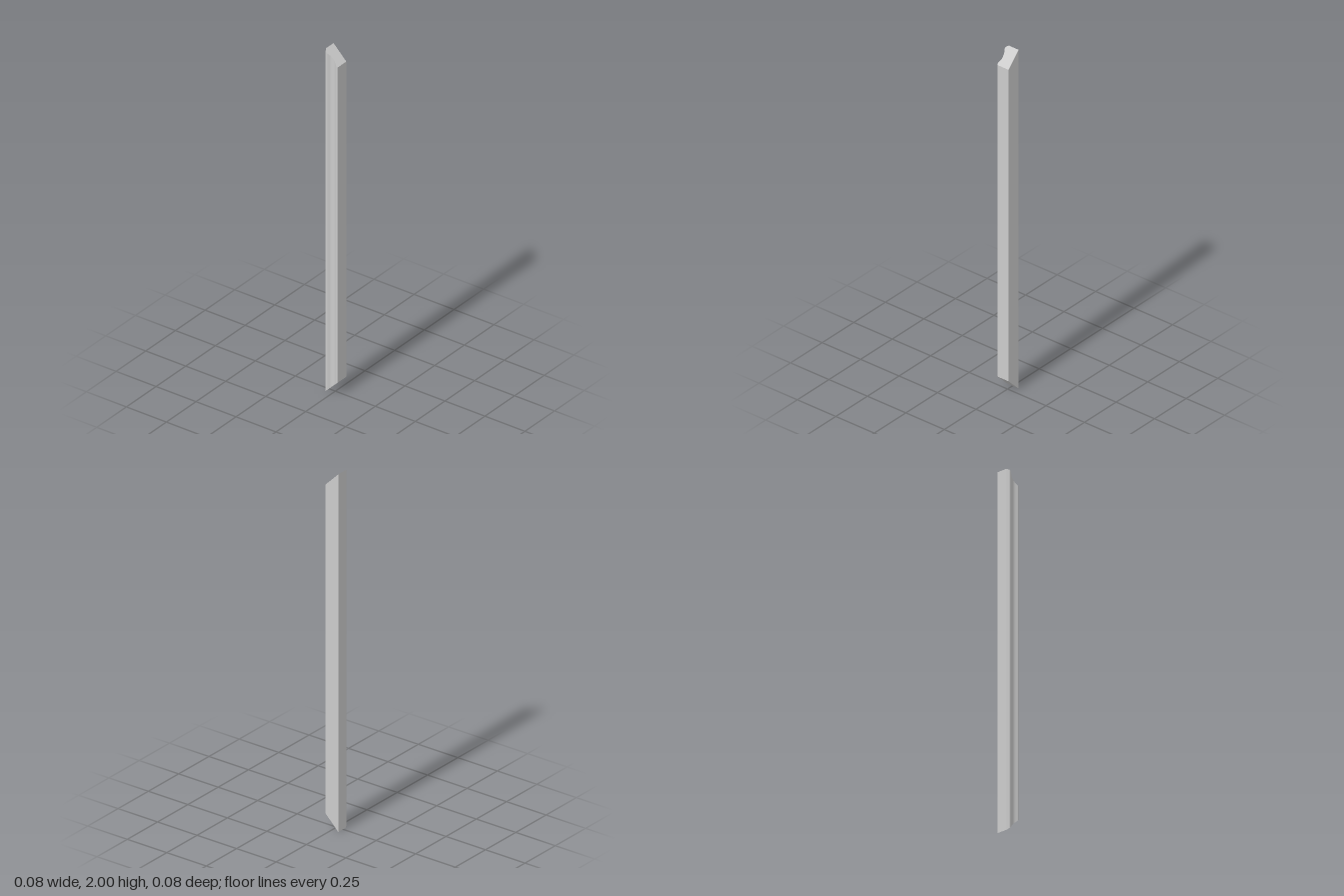
import * as THREE from 'three';

// Straight length of moulding with 45 degree mitred ends.
const HALF = 0.04;
const LENGTH = 2;

// Cross-section, drawn as (x, -z) so that it lies flat after the turn.
function mouldingProfile() {
  const shape = new THREE.Shape();
  shape.moveTo(-HALF, 0.039);
  shape.lineTo(-HALF, -0.024);
  shape.lineTo(-0.033, -0.037);
  shape.quadraticCurveTo(-0.026, -0.041, -0.02, -0.037);
  shape.lineTo(-0.009, -0.029);
  shape.quadraticCurveTo(0, -0.027, 0.011, -0.026);
  shape.quadraticCurveTo(0.018, -0.027, 0.029, -0.034);
  shape.quadraticCurveTo(0.034, -0.037, 0.039, -0.034);
  shape.lineTo(HALF, -0.030);
  shape.lineTo(HALF, 0.039);
  shape.closePath();
  return shape;
}

export function createModel() {
  const group = new THREE.Group();
  group.name = 'mitredMoulding';

  const geometry = new THREE.ExtrudeGeometry(mouldingProfile(), {
    depth: LENGTH, bevelEnabled: false, curveSegments: 4,
  });
  geometry.rotateX(-Math.PI / 2);

  // Mitre both ends: the +x edge is shorter than the -x edge.
  const pos = geometry.attributes.position;
  for (let i = 0; i < pos.count; i++) {
    const cut = pos.getX(i) + HALF;
    pos.setY(i, pos.getY(i) > LENGTH / 2 ? LENGTH - cut : cut);
  }
  geometry.computeVertexNormals();

  const material = new THREE.MeshStandardMaterial({ color: 0xcccccc, flatShading: true });
  const strip = new THREE.Mesh(geometry, material);
  strip.name = 'mouldingStrip';
  group.add(strip);
  return group;
}
